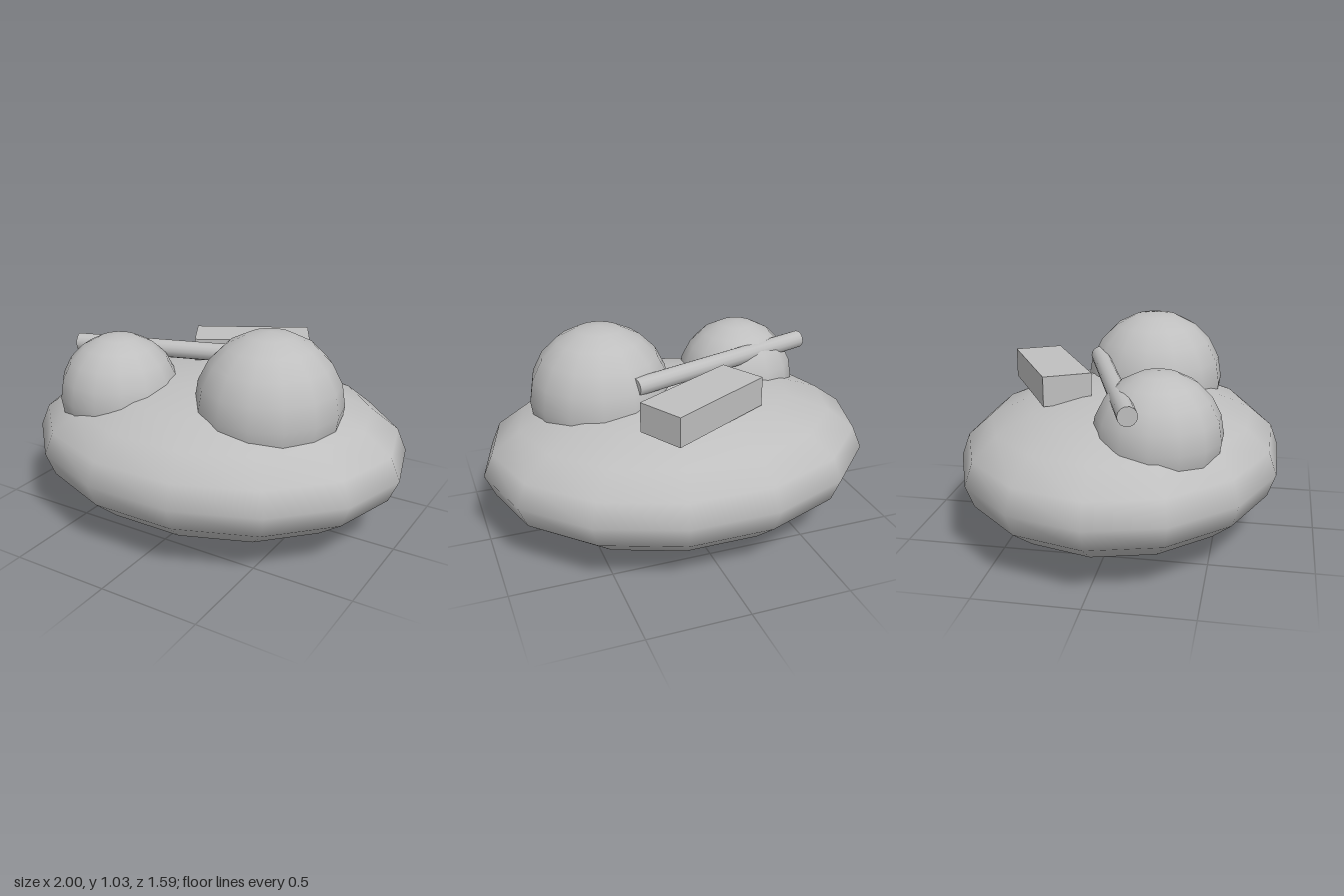
import * as THREE from 'three';

const grey = new THREE.MeshStandardMaterial({ color: 0xbfbfbf });
grey.name = 'plain grey';

function addPart(group, name, geometry, x, y, z) {
  const mesh = new THREE.Mesh(geometry, grey);
  mesh.name = name;
  mesh.position.set(x, y, z);
  group.add(mesh);
  return mesh;
}

// Coarse sphere with smooth normals, stretched to the given radii
function ellipsoid(rx, ry = rx, rz = rx) {
  return new THREE.SphereGeometry(1, 14, 10).scale(rx, ry, rz);
}

export function createModel() {
  const group = new THREE.Group();
  group.name = 'model';

  // Flattened oval body
  addPart(group, 'body', ellipsoid(1, 0.366, 0.818), 0, 0.366, 0);

  // Two domes sunk into the body
  addPart(group, 'largeDome', ellipsoid(0.362), 0.362, 0.67, 0.118);
  addPart(group, 'smallDome', ellipsoid(0.307), -0.437, 0.615, 0.246);

  // Rod lying across the backs of the domes
  const rod = new THREE.CylinderGeometry(0.046, 0.046, 1.084, 14).rotateZ(Math.PI / 2);
  addPart(group, 'rod', rod, -0.25, 0.803, -0.006).rotation.y = 0.311;

  // Block at the rear
  const block = new THREE.BoxGeometry(0.604, 0.149, 0.243);
  addPart(group, 'block', block, -0.005, 0.758, -0.367).rotation.y = 0.5;

  return group;
}
